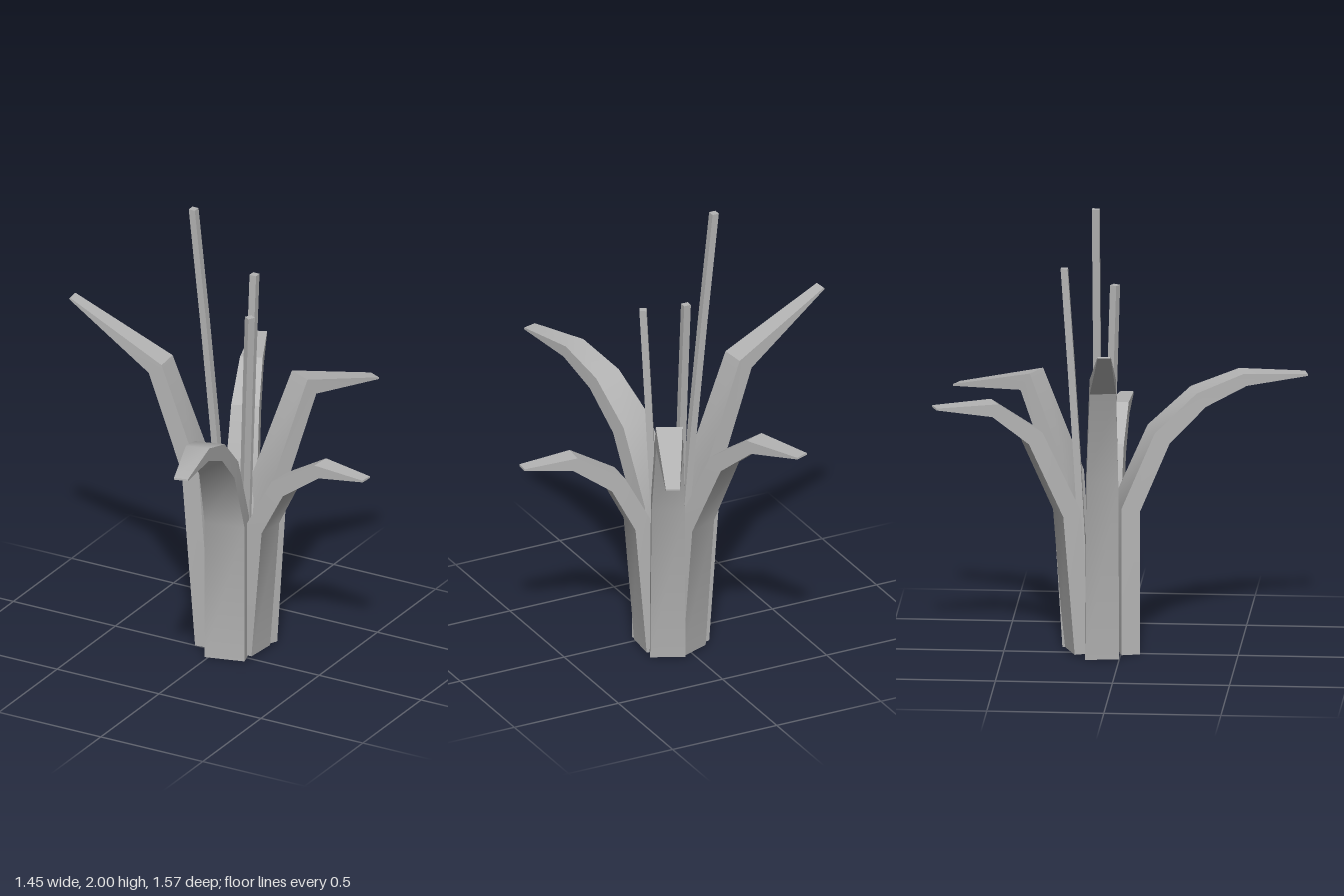
import * as THREE from 'three';
import { toCreasedNormals } from 'three/addons/utils/BufferGeometryUtils.js';

// Four-sided loft growing outward along local +z.
// Each section has an outer point, an inner point (x = distance, y = height) and a width.
function loft(sections) {
  const pos = [], idx = [];
  for (const { outer, inner, width } of sections) {
    const h = width / 2;
    pos.push(-h, outer.y, outer.x, h, outer.y, outer.x);
    pos.push(h, inner.y, inner.x, -h, inner.y, inner.x);
  }
  const t = (sections.length - 1) * 4;
  for (let k = 0; k < t; k += 4) {
    for (let j = 0; j < 4; j++) {
      const a = k + j, b = k + (j + 1) % 4;
      idx.push(a, b, b + 4, a, b + 4, a + 4);
    }
  }
  idx.push(t, t + 1, t + 2, t, t + 2, t + 3, 0, 2, 1, 0, 3, 2);
  const geo = new THREE.BufferGeometry();
  geo.setAttribute('position', new THREE.Float32BufferAttribute(pos, 3));
  geo.setIndex(idx);
  return toCreasedNormals(geo, 0.5);
}

// Leaf: follows its outer edge, with a mitred thickness that thins to the tip and a linear taper in width
function leafGeometry(points, baseWidth, tipWidth) {
  const path = points.map(([s, y]) => new THREE.Vector2(s, y));
  const last = path.length - 1;
  const heading = i => path[i + 1].clone().sub(path[i]).normalize();
  return loft(path.map((outer, i) => {
    const before = heading(Math.max(i - 1, 0)), after = heading(Math.min(i, last - 1));
    const mid = before.clone().add(after).normalize();
    const f = outer.x / path[last].x;
    const thick = Math.max(0.08 * (1 - f ** 2.5), 0.008) / mid.dot(after);
    const inner = i === 0
      ? new THREE.Vector2(-thick, outer.y)
      : new THREE.Vector2(outer.x - mid.y * thick, outer.y + mid.x * thick);
    return { outer, inner, width: THREE.MathUtils.lerp(baseWidth, tipWidth, f) };
  }));
}

// Stalk: thin square stem that leans a little more toward its top
function stalkGeometry(height, lean) {
  const sections = [];
  for (let i = 0; i <= 4; i++) {
    const f = i / 4, s = lean * f ** 1.25, y = height * f;
    sections.push({
      outer: new THREE.Vector2(s + 0.015, y),
      inner: new THREE.Vector2(s - 0.015, y),
      width: 0.032,
    });
  }
  return loft(sections);
}

export function createModel() {
  const group = new THREE.Group();
  const grey = new THREE.MeshStandardMaterial({ color: 0xb4b4b4 });
  grey.name = 'plantGrey';

  // angle is in degrees from the front toward +x
  const add = (name, geometry, x, z, angle) => {
    const mesh = new THREE.Mesh(geometry, grey);
    mesh.name = name;
    mesh.position.set(x, 0, z);
    mesh.rotation.y = THREE.MathUtils.degToRad(angle);
    group.add(mesh);
  };

  // bent leaves
  add('frontLeaf', leafGeometry(
    [[0, 0], [0, 0.63], [0.13, 0.92], [0.29, 1.07], [0.47, 1.15], [0.74, 1.175]],
    0.175, 0.062), 0.07, 0.06, 15.2);
  add('leftLeaf', leafGeometry(
    [[0, 0.01], [0.05, 0.6], [0.155, 0.8], [0.33, 0.925], [0.547, 0.957]],
    0.14, 0.055), 0.172, -0.073, 85);
  add('rightLeaf', leafGeometry(
    [[0, 0], [0.065, 0.8], [0.225, 1.23], [0.612, 1.49]],
    0.145, 0.056), -0.115, -0.072, -85);
  add('backRightLeaf', leafGeometry(
    [[0, 0.01], [0.05, 0.62], [0.2, 0.95], [0.36, 1.08], [0.605, 1.125]],
    0.15, 0.062), -0.01, -0.22, -158);
  add('backLeftLeaf', leafGeometry(
    [[0, 0.01], [0.055, 0.74], [0.215, 1.11], [0.56, 1.076]],
    0.15, 0.06), 0.118, -0.222, 154.7);

  // upright stalks
  add('tallStalk', stalkGeometry(2, 0.18), 0.01, -0.095, -90);
  add('middleStalk', stalkGeometry(1.68, 0.095), 0.043, -0.15, 180);
  add('shortStalk', stalkGeometry(1.585, 0.069), 0.08, -0.07, 60);

  return group;
}
